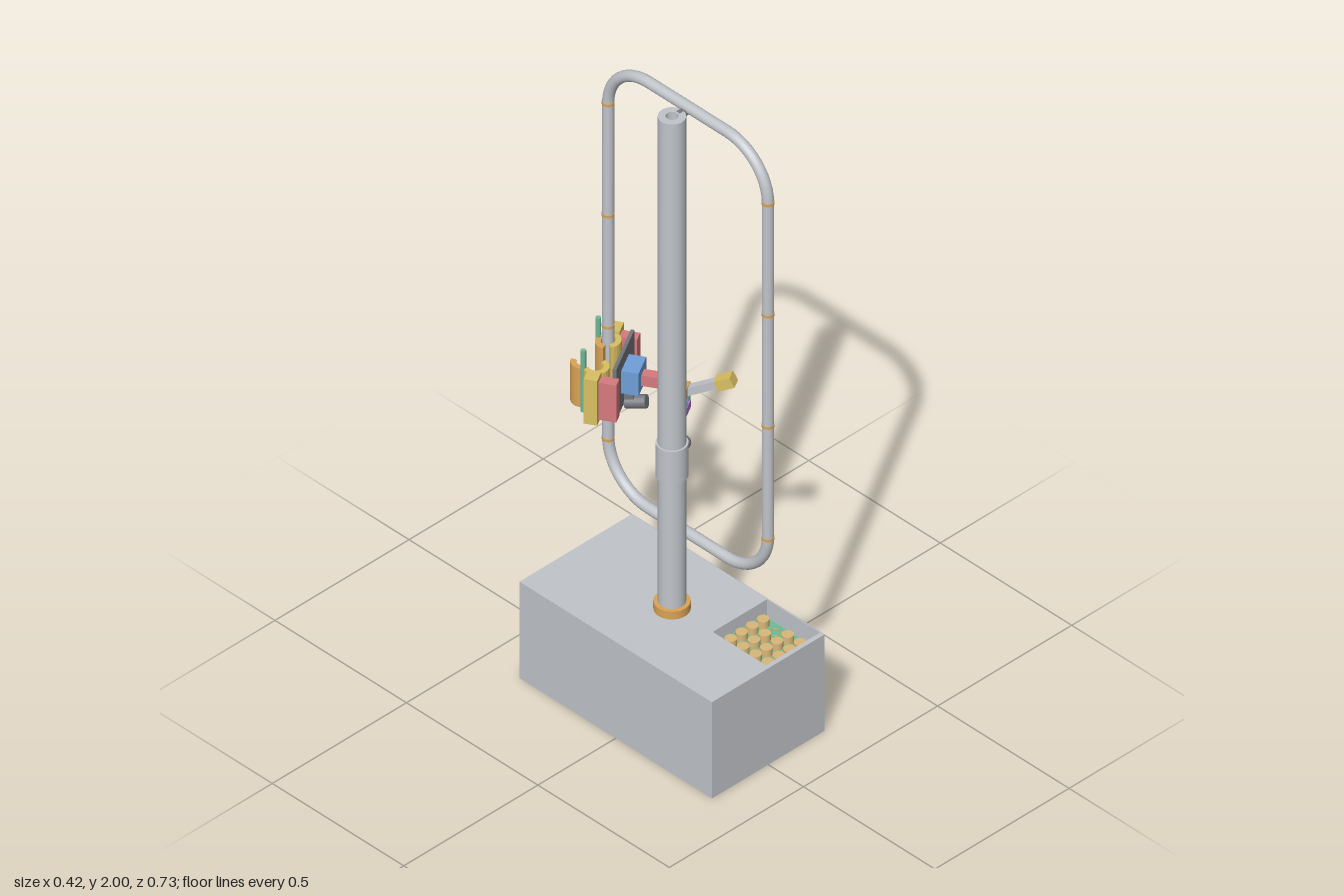
import * as THREE from 'three';

const mat = (name, color, side = THREE.FrontSide) => {
  const m = new THREE.MeshStandardMaterial({ color, side });
  m.name = name;
  return m;
};

export function createModel() {
  const light = mat('light grey', 0xc0c4c9);
  const dark = mat('dark grey', 0x74777d);
  const blue = mat('blue', 0x6f9fd8);
  const red = mat('red', 0xd67a7e);
  const green = mat('green', 0x6fba98);
  const purple = mat('purple', 0xb57ad6);
  const yellow = mat('yellow', 0xd9bf62);
  const orange = mat('orange', 0xd9a355);
  const tan = mat('tan', 0xd8b87a);

  const model = new THREE.Group();
  const add = (parent, name, geo, material, x = 0, y = 0, z = 0) => {
    const m = new THREE.Mesh(geo, material);
    m.name = name;
    m.position.set(x, y, z);
    parent.add(m);
    return m;
  };
  // box given by its limits on each axis
  const box = (parent, name, material, x0, x1, y0, y1, z0, z1) =>
    add(parent, name, new THREE.BoxGeometry(x1 - x0, y1 - y0, z1 - z0), material,
      (x0 + x1) / 2, (y0 + y1) / 2, (z0 + z1) / 2);
  const cyl = (r, h, n = 32) => new THREE.CylinderGeometry(r, r, h, n);
  // plan outline (shape y = -z) raised from y = 0 to h
  const upright = (shape, h) => new THREE.ExtrudeGeometry(shape,
    { depth: h, bevelEnabled: false, curveSegments: 24 }).rotateX(-Math.PI / 2);
  const rect = (T, x0, x1, y0, y1) => new T([[x0, y0], [x1, y0], [x1, y1], [x0, y1]]
    .map(p => new THREE.Vector2(...p)));

  // Base with a sample tray sunk into its top
  box(model, 'baseLower', light, -0.21, 0.21, 0, 0.265, -0.366, 0.366);
  const rim = rect(THREE.Shape, -0.21, 0.21, -0.366, 0.366);
  rim.holes.push(rect(THREE.Path, 0.005, 0.207, -0.352, -0.15));
  add(model, 'baseRim', upright(rim, 0.06), light, 0, 0.265, 0);
  box(model, 'tray', green, 0.005, 0.193, 0.265, 0.28, 0.15, 0.352);
  for (let i = 0; i < 4; i++) for (let j = 0; j < 4; j++) {
    const x = 0.042 + i * 0.04, z = 0.181 + j * 0.047;
    if (i === 3 && j === 1) {
      const ring = add(model, 'emptySlotRing', new THREE.TorusGeometry(0.0155, 0.0015, 6, 24), orange, x, 0.281, z);
      ring.rotation.x = Math.PI / 2;
    } else add(model, 'sample', cyl(0.017, 0.022, 24), tan, x, 0.291, z);
  }

  // Slotted hollow pole, with its slot facing +x
  const a = 0.19, pole = new THREE.Shape();
  pole.absarc(0, 0, 0.038, a, Math.PI * 2 - a, false);
  pole.lineTo(0.022, -0.0072);
  pole.lineTo(0.022, 0.0072);
  pole.closePath();
  pole.holes.push(new THREE.Path().absarc(0, 0, 0.017, 0, Math.PI * 2, true));
  add(model, 'pole', upright(pole, 1.66), light, 0, 0.325, 0);
  add(model, 'poleFoot', cyl(0.05, 0.026), orange, 0, 0.338, 0);
  add(model, 'poleSleeve', cyl(0.044, 0.11), light, 0, 0.83, 0);
  add(model, 'sleeveKnob', new THREE.SphereGeometry(0.02, 16, 12), dark, 0.044, 0.86, 0);
  box(model, 'topBracket', dark, 0.024, 0.055, 1.965, 1.983, -0.009, 0.009);

  // Rounded loop rail beside the pole
  const rail = new THREE.Group();
  rail.name = 'loopRail';
  rail.position.set(0.06, 1.265, 0);
  model.add(rail);
  const R = 0.155, r = 0.0165, hy = 0.718, hz = 0.304;
  for (const s of [-1, 1]) {
    add(rail, 'railUpright', cyl(r, 2 * (hy - R), 20), light, 0, 0, s * hz);
    const bar = add(rail, 'railBar', cyl(r, 2 * (hz - R), 20), light, 0, s * hy, 0);
    bar.rotation.x = Math.PI / 2;
    for (const y of [0.7, 1.08, 1.455, 1.83])
      add(rail, 'railJoint', cyl(r + 0.0012, 0.008, 20), orange, 0, y - 1.265, s * hz);
  }
  for (let i = 0; i < 4; i++) {
    const bend = new THREE.TorusGeometry(R, r, 16, 12, Math.PI / 2)
      .rotateZ(i * Math.PI / 2).rotateY(Math.PI / 2);
    const sy = i < 2 ? 1 : -1, sz = i === 0 || i === 3 ? -1 : 1;
    add(rail, 'railBend', bend, light, 0, sy * (hy - R), sz * (hz - R));
  }

  // Climbing robot, turned towards the front left
  const bot = new THREE.Group();
  bot.name = 'climber';
  bot.position.set(0.04, 0, -0.225);
  bot.rotation.y = Math.PI / 6;
  model.add(bot);
  box(bot, 'bodyPlate', dark, -0.09, 0.09, 0.88, 1.05, -0.005, 0.005);

  // Part of a ring round the rail, optionally swung about its hinge pin
  const pin = [0.074, 0.0905];
  const claw = (s, from, to, swing) => {
    const pts = [], n = 14, c = Math.cos(swing), k = Math.sin(swing);
    const put = (rad, t) => {
      const x = 0.06 + rad * Math.cos(t) - pin[0], y = 0.059 + rad * Math.sin(t) - pin[1];
      pts.push(new THREE.Vector2(s * (pin[0] + x * c - y * k), pin[1] + x * k + y * c));
    };
    for (let i = 0; i <= n; i++) put(0.036, (from + (to - from) * i / n) * Math.PI / 180);
    for (let i = n; i >= 0; i--) put(0.02, (from + (to - from) * i / n) * Math.PI / 180);
    return new THREE.Shape(pts);
  };
  for (const s of [-1, 1]) {
    const g = new THREE.Group();
    g.name = s > 0 ? 'closedGripper' : 'openGripper';
    bot.add(g);
    const side = (name, m, u0, u1, ...rest) =>
      box(g, name, m, Math.min(s * u0, s * u1), Math.max(s * u0, s * u1), ...rest);
    side('gripperMotor', red, 0.088, 0.119, 0.895, 1.02, -0.036, 0.013);
    side('gripperBlock', yellow, 0.089, 0.133, 0.885, 1.035, -0.073, -0.036);
    add(g, 'palm', upright(claw(s, -155, 64, 0), 0.14), yellow, 0, 0.887, 0);
    add(g, 'finger', upright(claw(s, 68, 172, s > 0 ? 0 : -1.4), 0.13), orange, 0, 0.892, 0);
    add(g, 'hingePin', cyl(0.008, 0.205, 8), green, s * pin[0], 0.9825, -pin[1]);
  }

  // Arm base and wrist
  box(bot, 'armBase', blue, -0.042, 0.035, 0.935, 1.01, 0.005, 0.053);
  box(bot, 'shoulder', red, -0.015, 0.015, 0.95, 0.985, 0.053, 0.107);
  const flange = add(bot, 'wristFlange', cyl(0.026, 0.012, 24), dark, 0, 0.965, 0.113);
  flange.rotation.x = Math.PI / 2;
  box(bot, 'wrist', light, -0.018, 0.018, 0.943, 0.982, 0.119, 0.158);
  box(bot, 'elbow', orange, -0.026, 0.017, 0.935, 0.968, 0.152, 0.18);

  // Rising forearm and its tip
  const arm = new THREE.Group();
  arm.name = 'forearm';
  arm.position.set(0, 0.947, 0.17);
  arm.rotation.x = -0.46;
  bot.add(arm);
  box(arm, 'forearmBar', light, -0.011, 0.011, -0.012, 0.012, 0, 0.115);
  box(arm, 'forearmTip', yellow, -0.018, 0.018, -0.016, 0.016, 0.1, 0.15);

  // Hanging probe
  add(bot, 'probeMount', cyl(0.018, 0.016, 20), green, 0, 0.928, 0.166);
  add(bot, 'probeNeck', cyl(0.01, 0.025, 16), blue, 0, 0.908, 0.166);
  box(bot, 'probeHolder', purple, -0.016, 0.032, 0.872, 0.897, 0.152, 0.178);
  add(bot, 'probeTip', cyl(0.008, 0.062, 16), dark, 0, 0.841, 0.166);

  // Camera under the body
  box(bot, 'cameraMount', dark, -0.012, 0.012, 0.88, 0.936, 0.005, 0.03);
  const cam = add(bot, 'camera', cyl(0.019, 0.06, 20), dark, 0, 0.883, 0.035);
  cam.rotation.x = Math.PI / 2 - 0.2;

  return model;
}
